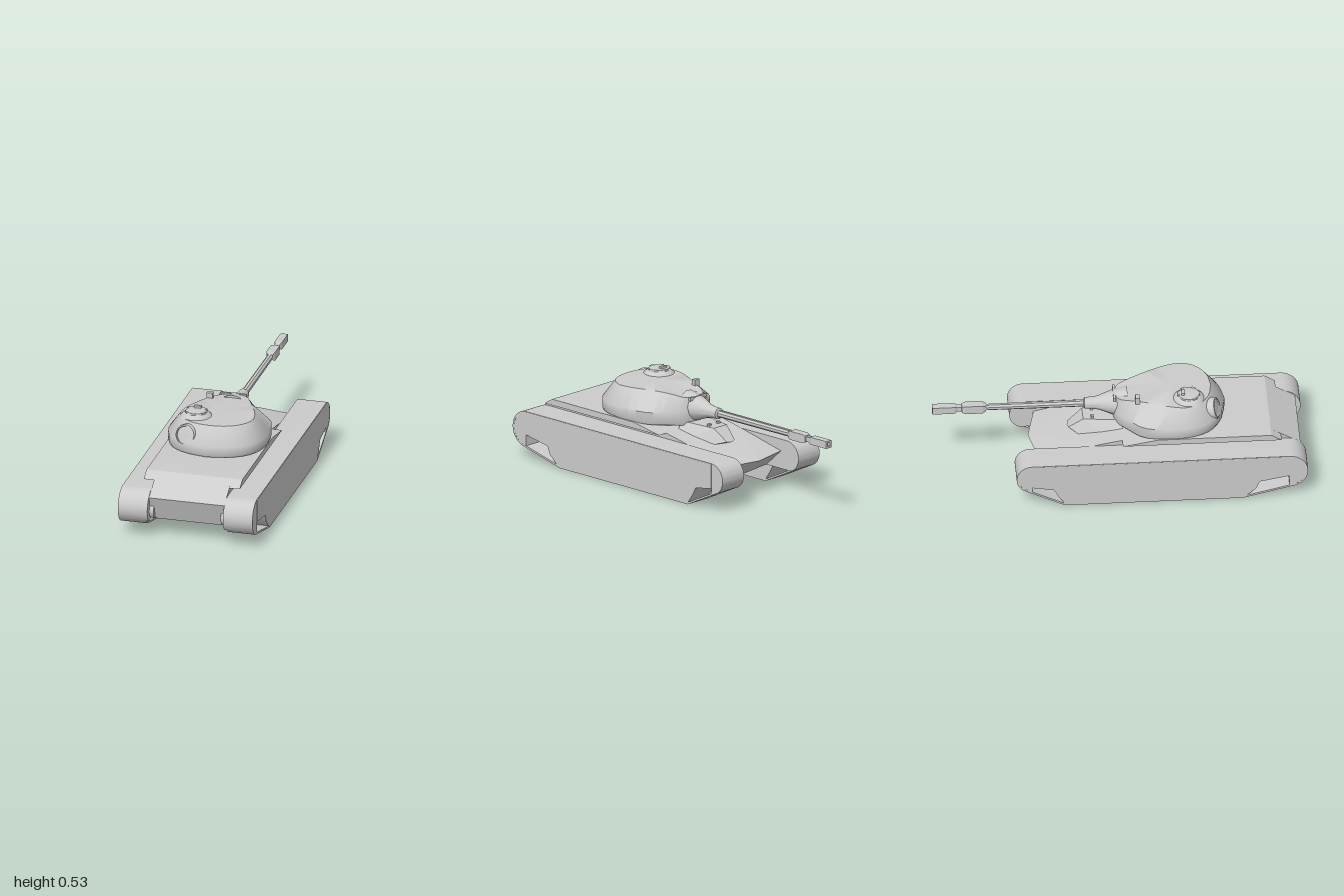
import * as THREE from 'three';
import { toCreasedNormals } from 'three/addons/utils/BufferGeometryUtils.js';
import { ConvexGeometry } from 'three/addons/geometries/ConvexGeometry.js';

const grey = new THREE.MeshStandardMaterial({ color: 0xcccccc });
const flat = new THREE.MeshStandardMaterial({ color: 0xcccccc, flatShading: true });

export function createModel() {
  const model = new THREE.Group();

  function add(name, geo, x = 0, y = 0, z = 0, mat = grey) {
    const mesh = new THREE.Mesh(geo, mat);
    mesh.name = name;
    mesh.position.set(x, y, z);
    model.add(mesh);
    return mesh;
  }
  const v2 = (pts) => pts.map(([a, b]) => new THREE.Vector2(a, b));

  // Extrudes a (z, y) side profile across x, centred on x = 0
  function sideExtrude(shape, width) {
    const geo = new THREE.ExtrudeGeometry(shape, { depth: width, bevelEnabled: false, curveSegments: 14 });
    geo.translate(0, 0, -width / 2).rotateY(-Math.PI / 2);
    return toCreasedNormals(geo, 0.5);
  }
  const slab = (pts, width) => sideExtrude(new THREE.Shape(v2(pts)), width);

  // Lathe turned to point along -z; profile is [radius, distance forward]
  function forwardLathe(pts, sides) {
    const geo = new THREE.LatheGeometry(v2(pts), sides, Math.PI / sides);
    return geo.rotateX(-Math.PI / 2);
  }

  // Hull
  add('hull', slab([[0.81, 0.33], [0.97, 0.235], [0.92, 0.1], [-0.1, 0.1], [-0.1, 0.275], [0.2, 0.33]], 0.42));
  add('hullDeck', slab([[0.81, 0.33], [0.865, 0.296], [0.01, 0.296], [0.2, 0.33]], 0.535));
  const nose = [[0, 0.2, -0.485], [0, 0.1, -0.36]];
  const hood = [[0, 0.26, -0.275]];
  for (const s of [-1, 1]) {
    nose.push([s * 0.21, 0.275, -0.1], [s * 0.21, 0.2, -0.44], [s * 0.21, 0.1, -0.33], [s * 0.21, 0.1, -0.1]);
    hood.push([s * 0.03, 0.265, -0.268], [s * 0.05, 0.33, -0.19], [s * 0.08, 0.335, 0.02],
      [s * 0.08, 0.25, -0.215], [s * 0.125, 0.27, 0.02], [s * 0.125, 0.25, -0.05]);
  }
  const convex = (pts) => new ConvexGeometry(pts.map((p) => new THREE.Vector3(...p)));
  add('hullNose', convex(nose), 0, 0, 0, flat);
  add('driverHood', convex(hood), 0, 0, 0, flat);
  for (const x of [-0.035, 0.035]) {
    add('driverPeriscope', new THREE.BoxGeometry(0.02, 0.015, 0.015), x, 0.335, -0.14);
  }

  // Track belt outline, inset by t
  function beltPath(path, t) {
    path.moveTo(-0.485, 0.265 - t);
    path.absarc(-0.485, 0.18, 0.085 - t, Math.PI / 2, Math.PI * 1.32, false);
    path.lineTo(-0.31 + t * 0.4, t);
    path.lineTo(0.65 - t * 0.4, t);
    path.absarc(0.9, 0.165, 0.1 - t, Math.PI * 1.59, Math.PI * 2.5, false);
    path.closePath();
    return path;
  }
  const belt = beltPath(new THREE.Shape(), 0);
  belt.holes.push(beltPath(new THREE.Path(), 0.01));
  const beltGeo = sideExtrude(belt, 0.15);

  // Side plates and half-round end wheels inside the belt
  const upperGeo = slab([[0.9, 0.262], [0.9, 0.135], [0.74, 0.105], [-0.37, 0.105], [-0.485, 0.125], [-0.485, 0.262]], 0.152);
  const lowerGeo = slab([[0.74, 0.105], [0.72, 0.06], [0.655, 0.003], [-0.305, 0.003], [-0.345, 0.06], [-0.37, 0.105]], 0.151);
  function halfDisc(z, y, r, from) {
    return sideExtrude(new THREE.Shape().absarc(z, y, r, from, from + Math.PI, false), 0.149);
  }
  const frontDisc = halfDisc(0.9, 0.165, 0.097, -Math.PI / 2);
  const rearDisc = halfDisc(-0.485, 0.18, 0.082, Math.PI / 2);
  const hubGeo = new THREE.CylinderGeometry(0.05, 0.05, 0.05, 24).rotateZ(Math.PI / 2);

  // Inner wall between belt and hull, open below the hull floor
  const wall = new THREE.Shape();
  wall.moveTo(-0.485, 0.265);
  wall.absarc(-0.485, 0.18, 0.085, Math.PI / 2, Math.PI + 1.22, false);
  wall.absarc(0.9, 0.165, 0.1, -0.707, Math.PI / 2, false);
  const wallGeo = sideExtrude(wall, 0.016);

  for (const s of [-1, 1]) {
    const x = s * 0.3;
    add('trackBelt', beltGeo, x);
    add('upperSidePlate', upperGeo, x);
    add('lowerSidePlate', lowerGeo, x);
    add('endWheel', frontDisc, x);
    add('endWheel', rearDisc, x);
    add('innerTrackWall', wallGeo, s * 0.219);
    add('wheelHub', hubGeo, s * 0.212, 0.15, 0.91);
  }

  // Turret: mirrored half outlines lofted from bottom to roof
  const outline = [[0, 0.575], [0.13, 0.545], [0.22, 0.48], [0.265, 0.38], [0.266, 0.24],
    [0.235, 0.12], [0.15, 0.04], [0.07, -0.02], [0, -0.03]];
  const roof = [[0, 0.49, 0.5], [0.09, 0.49, 0.485], [0.16, 0.49, 0.44], [0.2, 0.49, 0.37], [0.19, 0.49, 0.28],
    [0.15, 0.488, 0.18], [0.11, 0.48, 0.09], [0.065, 0.465, 0], [0, 0.465, -0.02]];
  const level = (k, back, front) => outline.map(([x, z], i) =>
    [x * k, back + (front - back) * Math.max(0, (i - 3) / 5), 0.27 + (z - 0.27) * k]);
  const rings = [level(0.9, 0.328, 0.3), level(0.98, 0.334, 0.31), level(1, 0.347, 0.33), level(1, 0.395, 0.39), roof];
  const N = 20;
  function ringPoints(half) {
    const pts = new THREE.CatmullRomCurve3(half.map((p) => new THREE.Vector3(...p))).getPoints(N);
    const mirrored = pts.slice(1, -1).reverse().map((p) => new THREE.Vector3(-p.x, p.y, p.z));
    return [...pts, ...mirrored];
  }
  function loft(halves, bottomY, topY, midZ) {
    const pos = [], idx = [], n = 2 * N;
    for (const h of halves) for (const p of ringPoints(h)) pos.push(p.x, p.y, p.z);
    const bottom = pos.length / 3, top = bottom + 1, last = (halves.length - 1) * n;
    pos.push(0, bottomY, midZ, 0, topY, midZ);
    for (let i = 0; i < n; i++) {
      const j = (i + 1) % n;
      for (let r = 0; r < last; r += n) idx.push(r + i, r + j, r + n + j, r + i, r + n + j, r + n + i);
      idx.push(bottom, j, i, top, last + i, last + j);
    }
    const geo = new THREE.BufferGeometry();
    geo.setAttribute('position', new THREE.Float32BufferAttribute(pos, 3));
    geo.setIndex(idx);
    return toCreasedNormals(geo, 0.75);
  }
  add('turret', loft(rings, 0.328, 0.49, 0.3));
  add('turretRing', new THREE.CylinderGeometry(0.22, 0.22, 0.06, 40), 0, 0.31, 0.27);

  // Gun with mantlet and two-chamber square muzzle brake
  const gunY = 0.4;
  add('mantlet', toCreasedNormals(forwardLathe([[0, -0.05], [0.085, -0.05], [0.07, 0.02], [0.052, 0.07],
    [0.04, 0.1], [0.033, 0.13], [0.031, 0.18], [0.018, 0.185]], 16), 0.5), 0, gunY, 0);
  add('mantletSlot', new THREE.BoxGeometry(0.125, 0.02, 0.012), 0, 0.459, -0.02);
  add('barrel', forwardLathe([[0.0195, 0.17], [0.0175, 0.73]], 8), 0, gunY, 0, flat);
  add('muzzleBrake', forwardLathe([[0.022, 0.71], [0.034, 0.73], [0.034, 0.82], [0.026, 0.84],
    [0.019, 0.842], [0.019, 0.865], [0.029, 0.88], [0.029, 1], [0.014, 1], [0.014, 0.96], [0, 0.96]], 4), 0, gunY, 0, flat);

  // Cupola with hatch and vision blocks
  const cx = -0.11, cz = 0.375;
  const cupola = new THREE.LatheGeometry(v2([[0.09, 0.48], [0.083, 0.49], [0.066, 0.507], [0.06, 0.51],
    [0.056, 0.518], [0.04, 0.521], [0, 0.521]]), 28);
  add('cupola', toCreasedNormals(cupola, 0.4), cx, 0, cz);
  add('hatchPeriscope', new THREE.BoxGeometry(0.04, 0.016, 0.018), cx, 0.525, cz - 0.03);
  for (let i = 0; i < 6; i++) {
    const a = (i / 6) * Math.PI * 2;
    const block = add('visionBlock', new THREE.BoxGeometry(0.024, 0.01, 0.012),
      cx + 0.054 * Math.sin(a), 0.515, cz + 0.054 * Math.cos(a));
    block.rotation.y = a;
  }

  // Roof periscope
  add('roofPeriscope', new THREE.BoxGeometry(0.034, 0.04, 0.024), -0.11, 0.491, 0.1);

  // Ball mount on the turret's round end, leaning with the armour
  const ball = toCreasedNormals(new THREE.LatheGeometry(v2([[0.062, -0.07], [0.06, 0], [0.056, 0.012],
    [0.049, 0.014], [0.047, 0.008], [0, 0.012]]), 28), 0.5);
  const mount = add('ballMount', ball, -0.13, 0.427, 0.515);
  mount.rotation.set(Math.PI / 2 - 0.3, 0, 0.25);

  return model;
}
